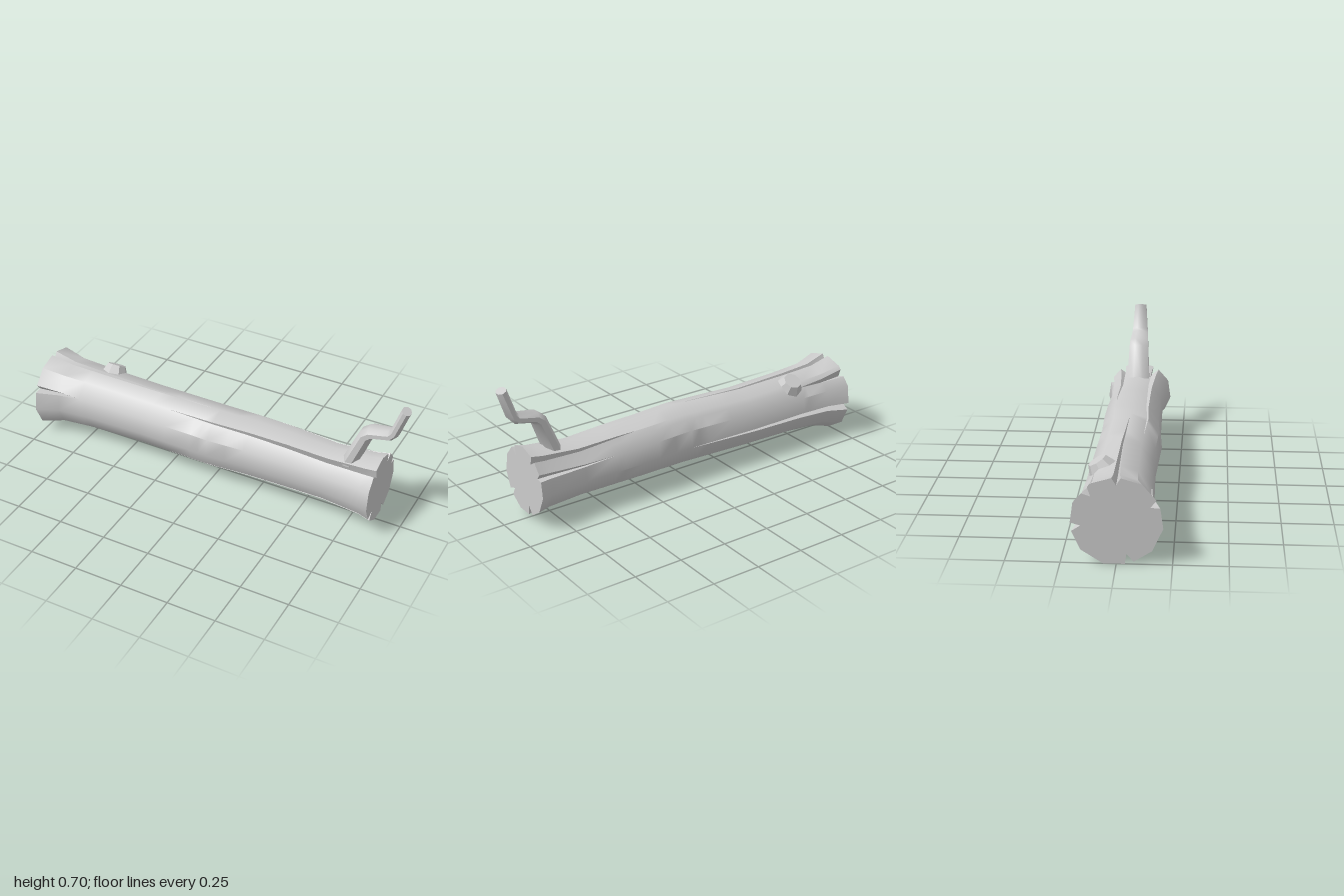
import * as THREE from 'three';
import { toCreasedNormals } from 'three/addons/utils/BufferGeometryUtils.js';

const SIDES = 11;
const STEP = (Math.PI * 2) / SIDES;
const LEFT_END = -1, RIGHT_END = 0.88;

// Trunk sections: x, radius, centre y, centre z
const sections = [
  [-1, 0.21, 0.205, 0], [-0.88, 0.176, 0.208, -0.005], [-0.7, 0.165, 0.21, -0.008],
  [-0.4, 0.158, 0.208, -0.01], [0, 0.16, 0.215, 0.003], [0.2, 0.156, 0.214, -0.006],
  [0.4, 0.153, 0.212, -0.007], [0.62, 0.147, 0.206, -0.006], [0.82, 0.163, 0.209, -0.002],
  [0.88, 0.177, 0.209, 0],
];

// Bark splits: corner number, direction (1 opens at the right end), x where it closes, depth
const splits = [
  [0, -1, -0.05, 0.04], [1, 1, -0.25, 0.05], [2, -1, -0.76, 0.045], [4, 1, -0.35, 0.05],
  [5, -1, 0.1, 0.05], [6, 1, -0.1, 0.05], [8, -1, 0, 0.05], [9, 1, 0.45, 0.035],
  [9.65, -1, -0.72, 0.04], [10, 1, 0.3, 0.045],
];

const lerp = THREE.MathUtils.lerp;

function sectionAt(x) {
  let i = 0;
  while (i < sections.length - 2 && x > sections[i + 1][0]) i++;
  const a = sections[i], b = sections[i + 1];
  const t = (x - a[0]) / (b[0] - a[0]);
  return a.map((v, k) => lerp(v, b[k], t));
}

// Radius of the many-sided outline in a given direction
function outline(angle) {
  const a = ((angle % STEP) + STEP) % STEP;
  return Math.cos(STEP / 2) / Math.cos(a - STEP / 2);
}

function trunkRing(x) {
  const [, r, cy, cz] = sectionAt(x);
  const points = [];
  const add = (angle, radius) => points.push([x, cy + radius * Math.cos(angle), cz + radius * Math.sin(angle)]);
  const corners = [...Array(SIDES).keys(), 9.65].sort((a, b) => a - b);
  for (const k of corners) {
    const angle = k * STEP;
    const split = splits.find((s) => s[0] === k);
    if (!split) { add(angle, r * outline(angle)); continue; }
    const [, dir, start, depth] = split;
    const end = dir > 0 ? RIGHT_END : LEFT_END;
    const t = Math.max(0, (x - start) / (end - start));
    const half = 0.004 + 0.095 * t;
    add(angle - half, r * outline(angle - half));
    add(angle, r * outline(angle) - depth * Math.min(1, t * 1.3));
    add(angle + half, r * outline(angle + half));
  }
  return points;
}

// Skin over a row of equal rings, closed at both ends
function loft(rings, crease) {
  const n = rings[0].length;
  const positions = rings.flat(2);
  const index = [];
  for (let i = 0; i < rings.length - 1; i++) {
    for (let j = 0; j < n; j++) {
      const a = i * n + j, b = i * n + ((j + 1) % n);
      index.push(a, b, a + n, b, b + n, a + n);
    }
  }
  [0, rings.length - 1].forEach((ring, side) => {
    const centre = positions.length / 3;
    for (let k = 0; k < 3; k++) positions.push(rings[ring].reduce((s, p) => s + p[k], 0) / n);
    for (let j = 0; j < n; j++) {
      const a = ring * n + j, b = ring * n + ((j + 1) % n);
      if (side) index.push(centre, a, b);
      else index.push(centre, b, a);
    }
  });
  const geometry = new THREE.BufferGeometry();
  geometry.setAttribute('position', new THREE.Float32BufferAttribute(positions, 3));
  geometry.setIndex(index);
  return toCreasedNormals(geometry, crease);
}

export function createModel() {
  const group = new THREE.Group();
  const material = new THREE.MeshStandardMaterial({ color: 0xcccccc });
  const addMesh = (name, geometry) => {
    const mesh = new THREE.Mesh(geometry, material);
    mesh.name = name;
    group.add(mesh);
    return mesh;
  };

  // Trunk: rings at the sections and wherever a split closes
  const xs = [...new Set([...sections.map((s) => s[0]), ...splits.map((s) => s[2])])].sort((a, b) => a - b);
  addMesh('trunk', loft(xs.map(trunkRing), 0.7));

  // Bent branch: outer x, y, inner x, y, half depth in z
  const branchSteps = [
    [0.675, 0.32, 0.757, 0.32, 0.067], [0.76, 0.52, 0.82, 0.49, 0.056],
    [0.8, 0.55, 0.835, 0.505, 0.054], [0.9, 0.567, 0.922, 0.522, 0.047],
    [0.912, 0.58, 0.95, 0.552, 0.045], [0.955, 0.706, 0.997, 0.687, 0.034],
  ];
  const branchSides = 8;
  const branchRings = branchSteps.map(([x0, y0, x1, y1, depth]) =>
    Array.from({ length: branchSides }, (_, j) => {
      const a = -((j + 0.5) / branchSides) * Math.PI * 2;
      const t = 0.5 + (0.5 * Math.cos(a)) / Math.cos(Math.PI / branchSides);
      return [lerp(x0, x1, t), lerp(y0, y1, t), depth * Math.sin(a)];
    }));
  addMesh('branch', loft(branchRings, 0.85));

  // Cut branch stub on the back of the trunk
  const tilt = -0.56;
  const knot = addMesh('knot', toCreasedNormals(new THREE.CylinderGeometry(0.048, 0.072, 0.05, 8), 0.5));
  knot.rotation.x = tilt;
  knot.position.set(-0.68, 0.21 + 0.167 * Math.cos(tilt), -0.008 + 0.167 * Math.sin(tilt));

  return group;
}
